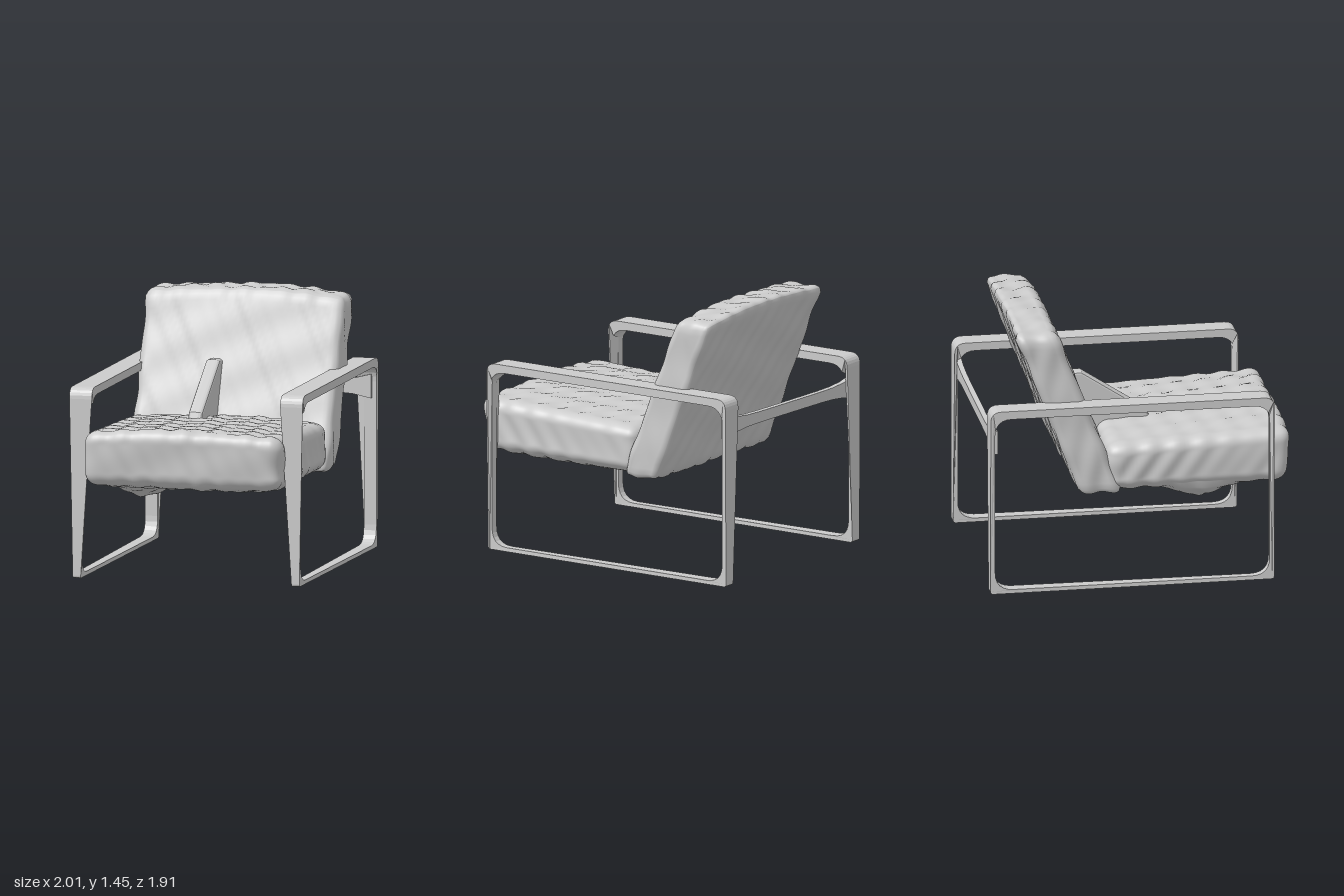
import * as THREE from 'three';
import { mergeVertices } from 'three/addons/utils/BufferGeometryUtils.js';

const material = new THREE.MeshStandardMaterial({ color: 0xcccccc, side: THREE.DoubleSide });

function part(name, geometry, parent) {
  const mesh = new THREE.Mesh(geometry, material);
  mesh.name = name;
  parent.add(mesh);
  return mesh;
}

// Fine lumps for worn upholstery
const lump = (x, y, z) =>
  0.003 * (Math.sin(37 * x + 19 * y) + Math.sin(41 * z - 23 * y + 9 * x) + Math.sin(53 * x - 47 * z + 29 * y));

// Subdivided box with rounded edges, then bent by a rule
function cushion(w, h, d, r, bend) {
  let g = new THREE.BoxGeometry(w, h, d, 56, 28, 48);
  g.deleteAttribute('normal');
  g.deleteAttribute('uv');
  g = mergeVertices(g);
  const p = g.attributes.position;
  const v = new THREE.Vector3(), core = new THREE.Vector3();
  const limit = new THREE.Vector3(w / 2 - r, h / 2 - r, d / 2 - r);
  for (let i = 0; i < p.count; i++) {
    v.fromBufferAttribute(p, i);
    core.copy(v).clamp(limit.clone().negate(), limit);
    const n = v.clone().sub(core).normalize();
    v.copy(core).addScaledVector(n, r + lump(v.x, v.y, v.z));
    bend(v);
    p.setXYZ(i, v.x, v.y, v.z);
  }
  g.computeVertexNormals();
  return g;
}

// Closed strap loop: armrest, two legs and floor rail
function strapLoop(side) {
  const outline = (path, z, y0, y1, rb, rt) => {
    path.moveTo(-z + rb, y0);
    path.lineTo(z - rb, y0);
    path.quadraticCurveTo(z, y0, z, y0 + rb);
    path.lineTo(z, y1 - rt);
    path.quadraticCurveTo(z, y1, z - rt, y1);
    path.lineTo(-z + rt, y1);
    path.quadraticCurveTo(-z, y1, -z, y1 - rt);
    path.lineTo(-z, y0 + rb);
    path.quadraticCurveTo(-z, y0, -z + rb, y0);
    return path;
  };
  const shape = outline(new THREE.Shape(), 0.775, 0.005, 1.04, 0.015, 0.06);
  shape.holes.push(outline(new THREE.Path(), 0.75, 0.027, 0.995, 0.1, 0.09));
  const g = new THREE.ExtrudeGeometry(shape, { depth: 1, bevelEnabled: false, curveSegments: 6 });
  g.translate(0, 0, -0.5).rotateY(-Math.PI / 2);
  // Wide armrest set inwards; slimmer legs and rail, slimmest at the front
  const p = g.attributes.position;
  for (let i = 0; i < p.count; i++) {
    const arm = p.getY(i) > 0.95;
    const width = arm ? 0.125 : p.getZ(i) > 0 ? 0.045 : 0.07;
    p.setX(i, p.getX(i) * width + side * (arm ? 0.588 : 0.61));
  }
  g.computeVertexNormals();
  return g;
}

export function createModel() {
  const model = new THREE.Group();
  model.name = 'armchair';
  const chair = new THREE.Group();
  chair.name = 'turnedChair';
  chair.rotation.y = -1.033;
  model.add(chair);

  // Seat: crowned top falling to the back, underside sagging to one low point
  part('seat', cushion(1.1, 0.29, 0.99, 0.065, (v) => {
    const t = (v.z + 0.495) / 0.99;
    const up = (v.y + 0.145) / 0.29;
    const inner = Math.min(1, (0.55 - Math.abs(v.x)) * 5);
    v.y += 0.67 + up * (0.025 * (1 - (v.x / 0.55) ** 2) - 0.045 * (1 - t));
    v.z += 0.38 + (up - 0.6) * 0.025 * t;
    if (up < 0.06) {
      const reach = Math.hypot(v.x + 0.35, v.z - 0.4);
      v.y -= 0.035 * inner * Math.min(1, (1 - t) * 4) + 0.09 * Math.max(0, 1 - reach / 0.24);
    }
  }), chair);

  // Backrest: leaning slab with a crowned top edge
  part('backrest', cushion(1.11, 0.91, 0.23, 0.045, (v) => {
    const up = (v.y + 0.455) / 0.91;
    v.z += -0.325 - 0.39 * v.y;
    v.y += 0.955 + 0.035 * up * (1 - (v.x / 0.555) ** 2);
    v.x += 0.01;
  }), chair);

  // Ridge running from the backrest down onto the seat
  const ridge = new THREE.Shape();
  ridge.moveTo(0.17, 0.77);
  ridge.lineTo(0.15, 0.83);
  ridge.lineTo(-0.2, 1.06);
  ridge.lineTo(-0.31, 1.06);
  ridge.lineTo(-0.18, 0.74);
  const ridgeGeometry = new THREE.ExtrudeGeometry(ridge, {
    depth: 0.03, bevelSize: 0.015, bevelThickness: 0.025, bevelSegments: 3,
  });
  ridgeGeometry.rotateY(-Math.PI / 2);
  part('centreRidge', ridgeGeometry, chair).position.x = -0.1;

  // Side frames
  for (const side of [-1, 1])
    part(side > 0 ? 'leftFrame' : 'rightFrame', strapLoop(side), chair);

  // Rear crossbar, widening where it meets the legs
  const bar = new THREE.BoxGeometry(1.24, 0.06, 0.03, 12, 1, 1);
  const p = bar.attributes.position;
  for (let i = 0; i < p.count; i++) {
    const x = p.getX(i);
    p.setY(i, p.getY(i) * (1 + 1.2 * Math.abs(x / 0.62) ** 6) + 0.02 * x);
  }
  bar.computeVertexNormals();
  part('rearCrossbar', bar, chair).position.set(0, 0.87, -0.745);

  return model;
}
